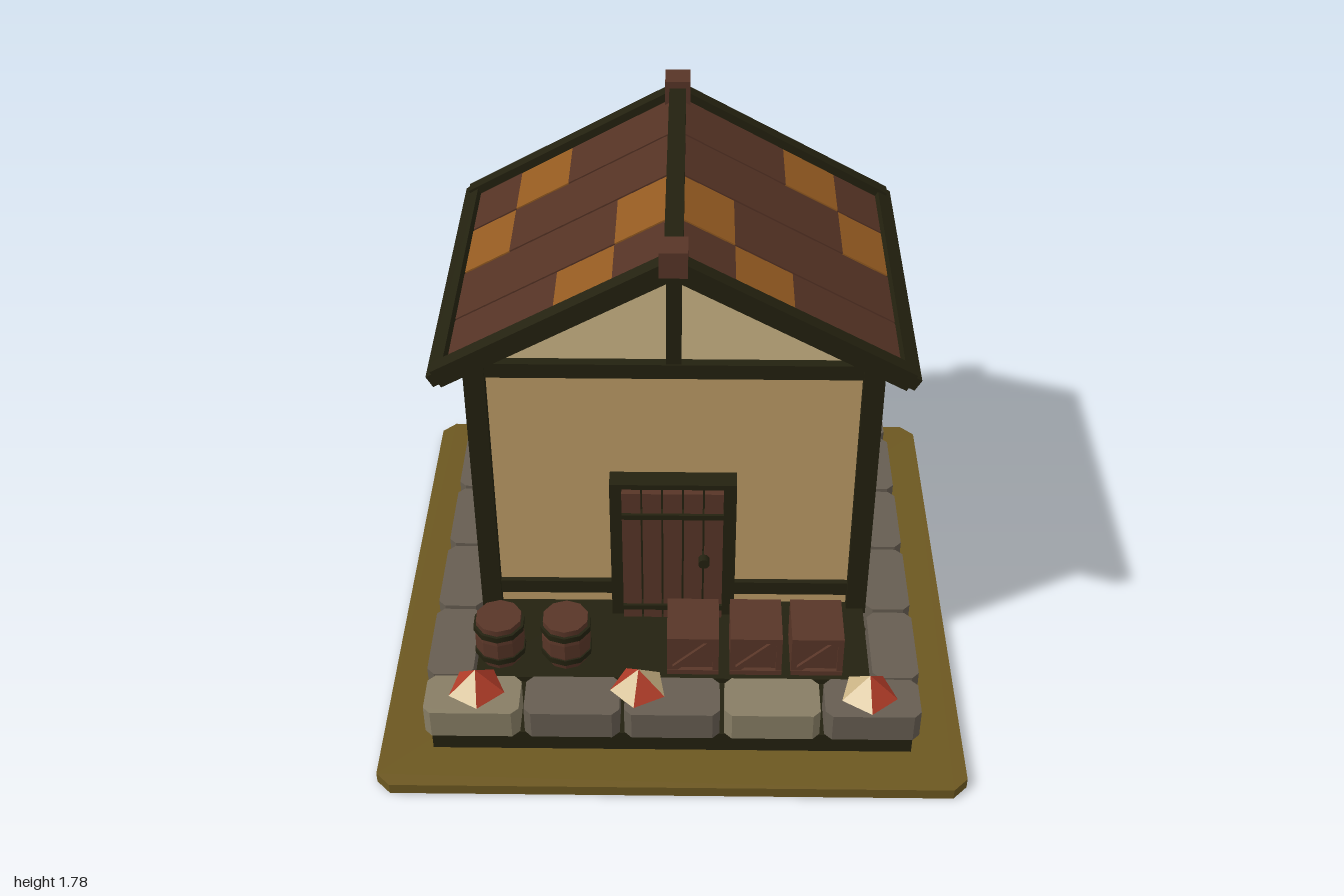
import * as THREE from 'three';

const mat = (name, color) => {
  const m = new THREE.MeshStandardMaterial({ color });
  m.name = name;
  return m;
};

export function createModel() {
  const olive = mat('olive ground', 0x6c5720);
  const dark = mat('dark timber', 0x23210f);
  const tan = mat('tan plaster', 0xbd9c66);
  const cream = mat('cream plaster', 0xcdb687);
  const brown = mat('brown wood', 0x583527);
  const roofBrown = mat('roof brown', 0x543224);
  const orange = mat('orange tile', 0x935a20);
  const stone = mat('grey stone', 0x665d51);
  const paleStone = mat('pale stone', 0x877d64);
  const red = mat('red cloth', 0xb03c28);

  const model = new THREE.Group();
  model.name = 'house';

  const add = (name, geo, material, parent = model) => {
    const m = new THREE.Mesh(geo, material);
    m.name = name;
    parent.add(m);
    return m;
  };
  // Axis-aligned box from its limits
  const box = (name, material, x0, x1, y0, y1, z0, z1, parent) => {
    const m = add(name, new THREE.BoxGeometry(x1 - x0, y1 - y0, z1 - z0), material, parent);
    m.position.set((x0 + x1) / 2, (y0 + y1) / 2, (z0 + z1) / 2);
    return m;
  };
  // Sloping bar in the xy plane between two points, spanning z0 to z1
  const slopeBar = (name, material, ax, ay, bx, by, t, z0, z1, parent) => {
    const m = add(name, new THREE.BoxGeometry(Math.hypot(bx - ax, by - ay), t, z1 - z0), material, parent);
    m.position.set((ax + bx) / 2, (ay + by) / 2, (z0 + z1) / 2);
    m.rotation.z = Math.atan2(by - ay, bx - ax);
    return m;
  };
  // Sloping bar in the zy plane, spanning x0 to x1
  const sideBar = (name, material, az, ay, bz, by, t, x0, x1) => {
    const m = add(name, new THREE.BoxGeometry(x1 - x0, t, Math.hypot(bz - az, by - ay)), material);
    m.position.set((x0 + x1) / 2, (ay + by) / 2, (az + bz) / 2);
    m.rotation.x = -Math.atan2(by - ay, bz - az);
    return m;
  };
  // Upright block with cut corners in plan
  const cutBlock = (name, material, x0, x1, y0, y1, z0, z1, c) => {
    const w = (x1 - x0) / 2, d = (z1 - z0) / 2;
    const s = new THREE.Shape([[w - c, -d], [w, c - d], [w, d - c], [w - c, d],
      [c - w, d], [-w, d - c], [-w, c - d], [c - w, -d]].map(p => new THREE.Vector2(...p)));
    const g = new THREE.ExtrudeGeometry(s, { depth: y1 - y0, bevelEnabled: false });
    g.rotateX(-Math.PI / 2);
    const m = add(name, g, material);
    m.position.set((x0 + x1) / 2, y0, (z0 + z1) / 2);
    return m;
  };

  // Ground, foundation and floor
  cutBlock('ground', olive, -1, 1, 0, 0.04, -1, 1, 0.05);
  box('foundation', dark, -0.82, 0.82, 0.04, 0.12, -0.83, 0.83);
  box('floor', dark, -0.68, 0.68, 0.2, 0.222, -0.68, 0.67);

  // Ring of stones
  const pale = { front: [0, 3], back: [0, 3] };
  for (let i = 0; i < 5; i++) {
    const a = -0.85 + i * 0.34 + 0.008, b = a + 0.324;
    cutBlock('frontStone', pale.front.includes(i) ? paleStone : stone, a, b, 0.12, 0.23, 0.675, 0.85, 0.025);
    cutBlock('backStone', pale.back.includes(i) ? paleStone : stone, a, b, 0.12, 0.23, -0.85, -0.695, 0.025);
  }
  for (const s of [-1, 1]) for (let i = 0; i < 4; i++) {
    const a = -0.685 + i * 0.34 + 0.008, x = s * 0.77;
    cutBlock('sideStone', stone, x - 0.08, x + 0.08, 0.12, 0.23, a, a + 0.324, 0.025);
  }

  // Walls and timber frame
  box('walls', tan, -0.66, 0.66, 0.222, 1.27, -0.71, 0.28);
  for (const s of [-1, 1]) {
    for (const z of [-0.705, 0.28]) box('cornerPost', dark, s * 0.655 - 0.035, s * 0.655 + 0.035, 0.2, 1.29, z - 0.035, z + 0.035);
    box('sideTopBeam', dark, s * 0.655 - 0.03, s * 0.655 + 0.03, 1.23, 1.3, -0.7, 0.27);
    box('sideBottomBeam', dark, s * 0.655 - 0.02, s * 0.655 + 0.02, 0.275, 0.33, -0.7, 0.27);
    sideBar('sideBrace', brown, 0.13, 0.335, -0.13, 1.205, 0.035, s * 0.665 - 0.015, s * 0.665 + 0.015);
  }
  box('frontTopBeam', dark, -0.65, 0.65, 1.235, 1.29, 0.25, 0.31);
  box('backTopBeam', dark, -0.65, 0.65, 1.235, 1.29, -0.735, -0.68);
  box('frontBottomBeam', dark, -0.65, 0.65, 0.275, 0.33, 0.25, 0.3);

  // Gable core
  const gable = new THREE.Shape([[-0.65, 1.27], [0.65, 1.27], [0.65, 1.31], [0, 1.675], [-0.65, 1.31]]
    .map(p => new THREE.Vector2(...p)));
  add('gable', new THREE.ExtrudeGeometry(gable, { depth: 0.98, bevelEnabled: false }), cream).position.z = -0.705;
  for (const z of [-0.715, 0.285]) box('gablePost', dark, -0.025, 0.025, 1.28, 1.64, z - 0.02, z + 0.02);

  // Roof tiles in four strips per slope
  const rowX = [0.015, 0.19, 0.38, 0.57, 0.74];
  const strips = [[-0.77, -0.506, 2], [-0.495, -0.217, 3], [-0.206, 0.074, 0], [0.084, 0.34, 1]];
  const roofY = x => 1.7 - 0.555 * x;
  const roof = new THREE.Group();
  roof.name = 'roof';
  model.add(roof);
  for (const s of [-1, 1]) {
    for (const [z0, z1, patch] of strips) for (let i = 0; i < 4; i++) {
      const a = rowX[i], b = rowX[i + 1];
      slopeBar('roofTile', i === patch ? orange : roofBrown, s * a, roofY(a), s * b, roofY(b), 0.025, z0, z1, roof);
    }
    for (const [z0, z1] of [[-0.82, -0.765], [0.338, 0.395]])
      slopeBar('bargeBoard', dark, 0, 1.708, s * 0.765, 1.286, 0.068, z0, z1, roof);
    slopeBar('eaveBeam', dark, s * 0.735, 1.305, s * 0.785, 1.277, 0.045, -0.82, 0.395, roof);
  }
  box('ridgeBeam', dark, -0.03, 0.03, 1.68, 1.755, -0.8, 0.37, roof);
  for (const z of [-0.79, 0.365]) box('ridgeCap', brown, -0.045, 0.045, 1.69, 1.78, z - 0.05, z + 0.05, roof);

  // Door
  box('doorFrame', dark, -0.22, 0.215, 0.222, 0.82, 0.27, 0.352);
  for (let i = 0; i < 5; i++) {
    const x = -0.178 + i * 0.071;
    box('doorPlank', brown, x, x + 0.064, 0.23, 0.8, 0.34, 0.375);
  }
  for (const y of [0.285, 0.705]) box('doorBand', dark, -0.178, 0.172, y - 0.01, y + 0.01, 0.35, 0.386);
  const knob = add('doorKnob', new THREE.CylinderGeometry(0.02, 0.02, 0.05, 10).rotateX(Math.PI / 2), dark);
  knob.position.set(0.105, 0.51, 0.38);

  // Side window with crossed bars
  box('windowFrame', dark, 0.65, 0.715, 0.6, 0.91, -0.39, -0.12);
  box('windowRim', dark, 0.7, 0.728, 0.625, 0.885, -0.367, -0.143);
  box('windowPane', tan, 0.7, 0.735, 0.635, 0.875, -0.358, -0.152);
  for (const s of [-1, 1]) sideBar('windowBar', dark, -0.255 - s * 0.1, 0.64, -0.255 + s * 0.1, 0.87, 0.018, 0.72, 0.742);

  // Barrels
  const profile = [[0, 0], [0.07, 0], [0.086, 0.06], [0.086, 0.12], [0.074, 0.18], [0, 0.18]]
    .map(p => new THREE.Vector2(...p));
  for (const x of [-0.6, -0.37]) {
    const barrel = new THREE.Group();
    barrel.name = 'barrel';
    barrel.position.set(x, 0.222, 0.56);
    model.add(barrel);
    const body = new THREE.LatheGeometry(profile, 10).toNonIndexed();
    body.computeVertexNormals();
    add('barrelBody', body, brown, barrel);
    for (const y of [0.045, 0.15])
      add('barrelHoop', new THREE.CylinderGeometry(0.09, 0.09, 0.022, 10, 1), dark, barrel).position.y = y;
    add('barrelLid', new THREE.CylinderGeometry(0.08, 0.08, 0.022, 10), brown, barrel).position.y = 0.172;
  }

  // Crates with framed, braced fronts
  for (const x of [-0.02, 0.197, 0.407]) {
    const crate = new THREE.Group();
    crate.name = 'crate';
    model.add(crate);
    box('crateBody', brown, x, x + 0.178, 0.222, 0.39, 0.45, 0.635, crate);
    for (const y of [0.222, 0.37]) box('crateRail', brown, x, x + 0.178, y, y + 0.02, 0.63, 0.65, crate);
    for (const d of [0, 0.158]) box('crateStile', brown, x + d, x + d + 0.02, 0.23, 0.38, 0.63, 0.648, crate);
    slopeBar('crateBrace', brown, x + 0.02, 0.24, x + 0.158, 0.372, 0.022, 0.63, 0.647, crate);
  }

  // Five-sided red and cream heaps
  const heaps = [[-0.67, 0.73, 'rrrrc', 0.1], [-0.115, 0.72, 'rcrrc', -0.15], [0.67, 0.74, 'rrccc', 0.05]];
  for (const [x, z, faces, turn] of heaps) {
    const g = new THREE.ConeGeometry(0.1, 0.085, 5, 1, true).toNonIndexed();
    g.computeVertexNormals();
    g.clearGroups();
    [...faces].forEach((f, i) => g.addGroup(i * 3, 3, f === 'r' ? 0 : 1));
    const heap = add('heap', g, [red, cream]);
    heap.position.set(x, 0.272, z);
    heap.rotation.y = turn;
  }
  return model;
}
